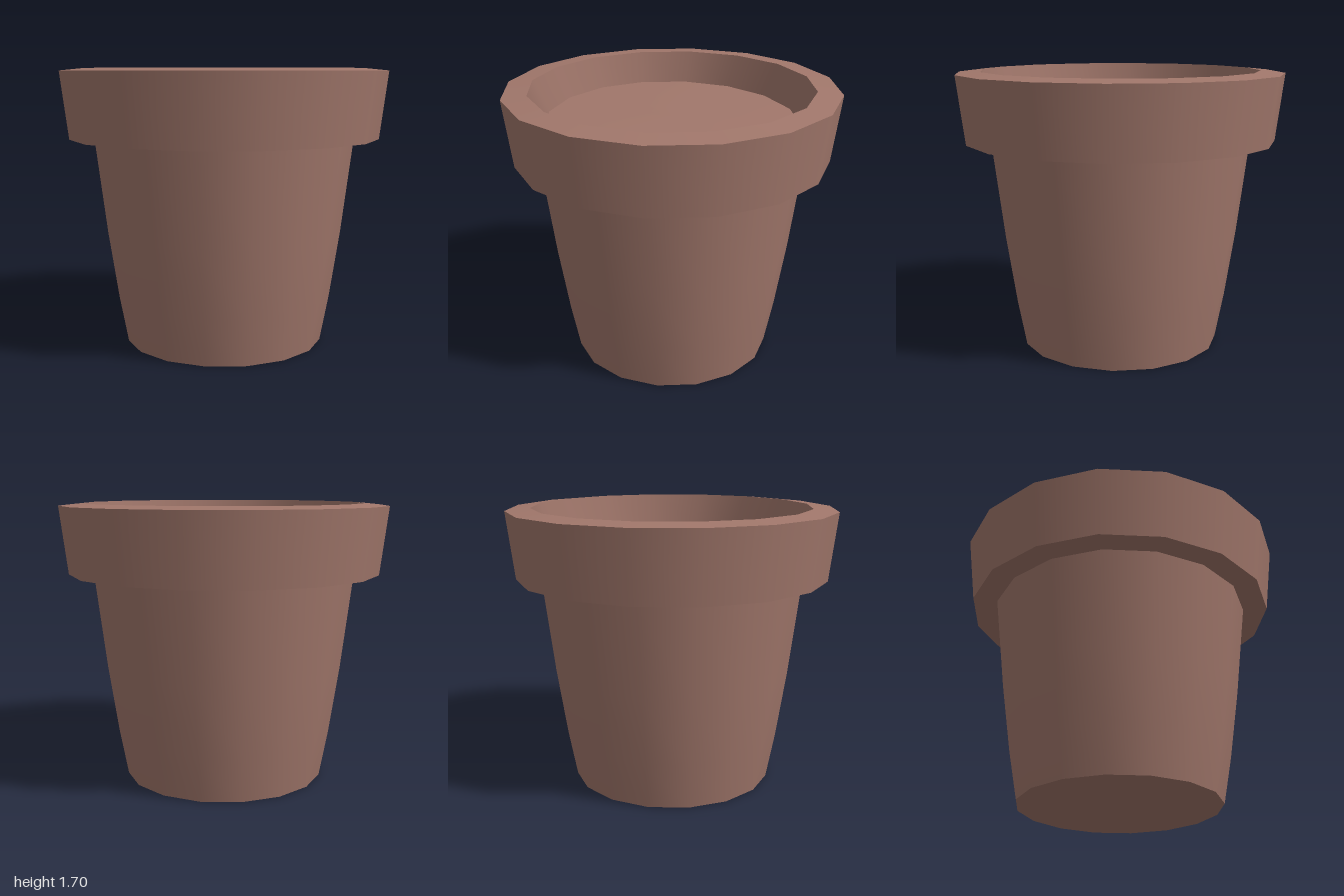
import * as THREE from 'three';

const SIDES = 16;

export function createModel() {
  const pot = new THREE.Group();
  pot.name = 'flowerPot';
  const clay = new THREE.MeshStandardMaterial({ color: 0xa1776b });
  clay.name = 'clay brown';

  // Each section is its own lathe, so edges between sections stay sharp
  const section = (name, profile) => {
    const geometry = new THREE.LatheGeometry(profile.map(([r, y]) => new THREE.Vector2(r, y)), SIDES);
    const mesh = new THREE.Mesh(geometry, clay);
    mesh.name = name;
    pot.add(mesh);
    return mesh;
  };

  // Tapered body
  section('base', [[0, 0], [0.615, 0]]);
  section('body', [[0.615, 0], [0.668, 0.285], [0.73, 0.7], [0.8, 1.275]]);

  // Overhanging rim
  section('rimUnderside', [[0.8, 1.275], [0.95, 1.275]]);
  section('rimOuter', [[0.95, 1.275], [1, 1.685]]);
  section('rimTop', [[1, 1.685], [0.85, 1.7]]);

  // Inner wall and soil, slightly narrower front to back at the soil line
  const inner = section('innerWall', [[0.85, 1.7], [0.82, 1.5]]);
  const soil = section('soil', [[0.82, 1.5], [0.45, 1.512], [0, 1.517]]);
  for (const { geometry } of [inner, soil]) {
    const p = geometry.attributes.position;
    for (let i = 0; i < p.count; i++) {
      if (p.getY(i) < 1.6) p.setZ(i, p.getZ(i) * 0.92);
    }
  }
  return pot;
}
